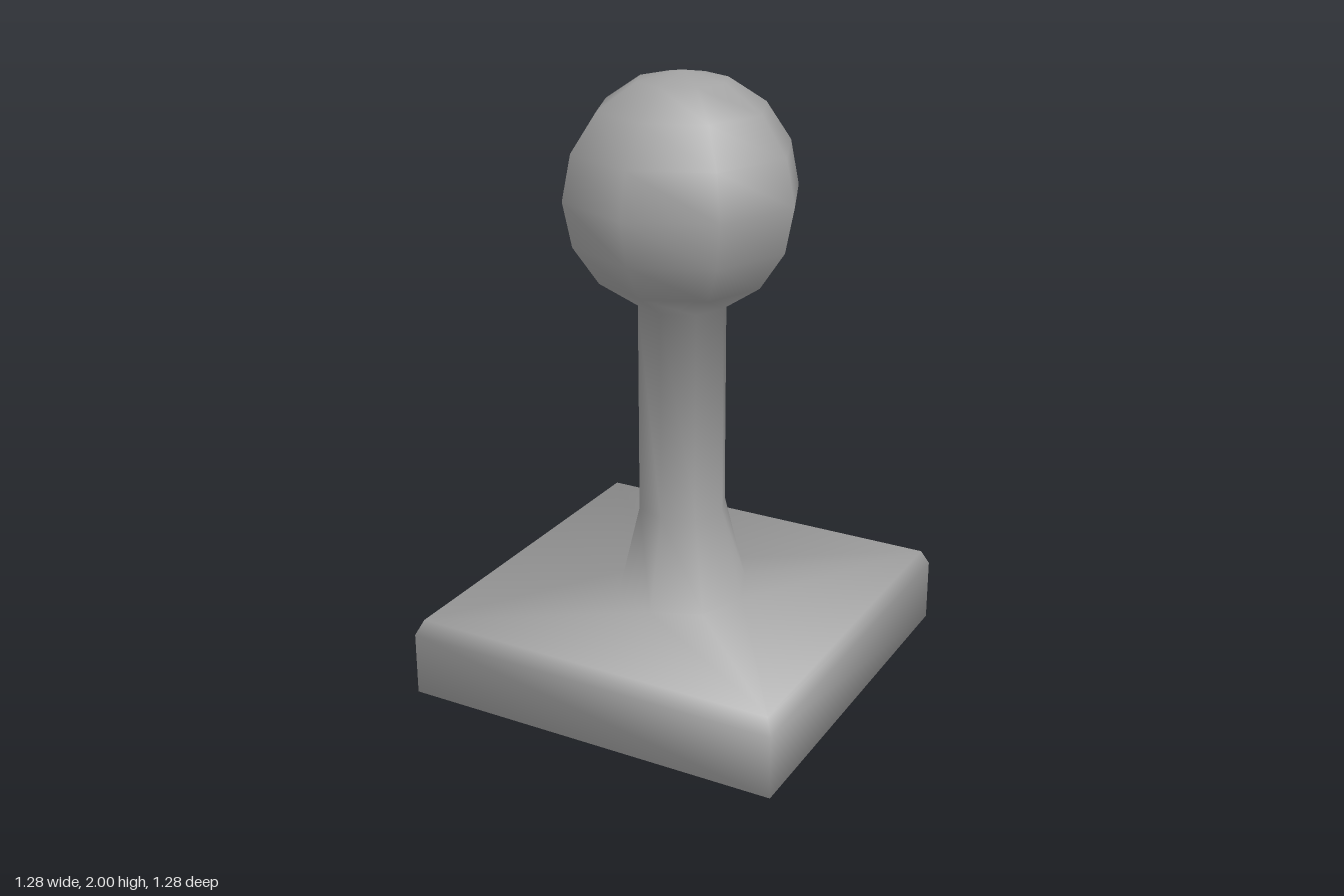
import * as THREE from 'three';

// Square ring of 4 corners or octagonal ring of 8 points, counted from +z towards +x
function ring(sides, r, y) {
  return Array.from({ length: sides }, (_, j) => {
    const a = sides === 4 ? Math.PI * (j / 2 + 0.25) : (Math.PI * j) / 4;
    const k = sides === 4 ? r * Math.SQRT2 : r;
    return new THREE.Vector3(k * Math.sin(a), y, k * Math.cos(a));
  });
}

// Two triangles for each side between rings with the same number of points
function wall(lower, upper) {
  return lower.flatMap((a, j) => {
    const k = (j + 1) % lower.length;
    return [[a, lower[k], upper[j]], [lower[k], upper[k], upper[j]]];
  });
}

// Flat top: a square outside, an octagon inside
function deck(square, octagon) {
  return square.flatMap((corner, k) => {
    const [o0, o1, o2] = [0, 1, 2].map(i => octagon[(2 * k + i) % 8]);
    return [[corner, o1, o0], [corner, o2, o1], [corner, square[(k + 1) % 4], o2]];
  });
}

// Smooth normals: each face counts by its angle at the point
function smoothNormals(triangles) {
  const normals = new Map();
  for (const triangle of triangles) {
    const face = new THREE.Triangle(...triangle).getNormal(new THREE.Vector3());
    triangle.forEach((p, i) => {
      const u = triangle[(i + 1) % 3].clone().sub(p);
      const v = triangle[(i + 2) % 3].clone().sub(p);
      if (!normals.has(p)) normals.set(p, new THREE.Vector3());
      normals.get(p).addScaledVector(face, u.angleTo(v));
    });
  }
  normals.forEach(n => n.normalize());
  return normals;
}

export function createModel() {
  const group = new THREE.Group();
  group.name = 'ballToppedPeg';
  const material = new THREE.MeshStandardMaterial({ color: 0xa3a3a3 });

  // Square base with a chamfered upper edge
  const foot = ring(4, 0.64, 0);
  const shoulder = ring(4, 0.64, 0.21);
  const rim = ring(4, 0.617, 0.26);

  // Flared stem
  const stemFoot = ring(8, 0.222, 0.26);
  const stemWaist = ring(8, 0.147, 0.565);

  // Ball: its lowest ring is the top of the stem
  const radius = 0.383, centre = 2 - radius;
  const ballRings = [1, 2, 3, 4, 5, 6, 7].map(i => {
    const t = (i / 8) * Math.PI;
    return ring(8, radius * Math.sin(t), centre - radius * Math.cos(t));
  });
  const crown = new THREE.Vector3(0, 2, 0);
  const lastRing = ballRings[6];

  const parts = {
    base: [
      [foot[0], foot[3], foot[2]], [foot[0], foot[2], foot[1]],
      ...wall(foot, shoulder), ...wall(shoulder, rim), ...deck(rim, stemFoot),
    ],
    stem: [...wall(stemFoot, stemWaist), ...wall(stemWaist, ballRings[0])],
    ball: [
      ...ballRings.slice(1).flatMap((upper, i) => wall(ballRings[i], upper)),
      ...lastRing.map((p, j) => [p, lastRing[(j + 1) % 8], crown]),
    ],
  };

  // Shading flows across the joints, so normals are found for all parts together
  const normals = smoothNormals(Object.values(parts).flat());
  for (const [name, triangles] of Object.entries(parts)) {
    const corners = triangles.flat();
    const geometry = new THREE.BufferGeometry().setFromPoints(corners);
    const shading = corners.flatMap(p => normals.get(p).toArray());
    geometry.setAttribute('normal', new THREE.Float32BufferAttribute(shading, 3));
    const mesh = new THREE.Mesh(geometry, material);
    mesh.name = name;
    group.add(mesh);
  }
  return group;
}
